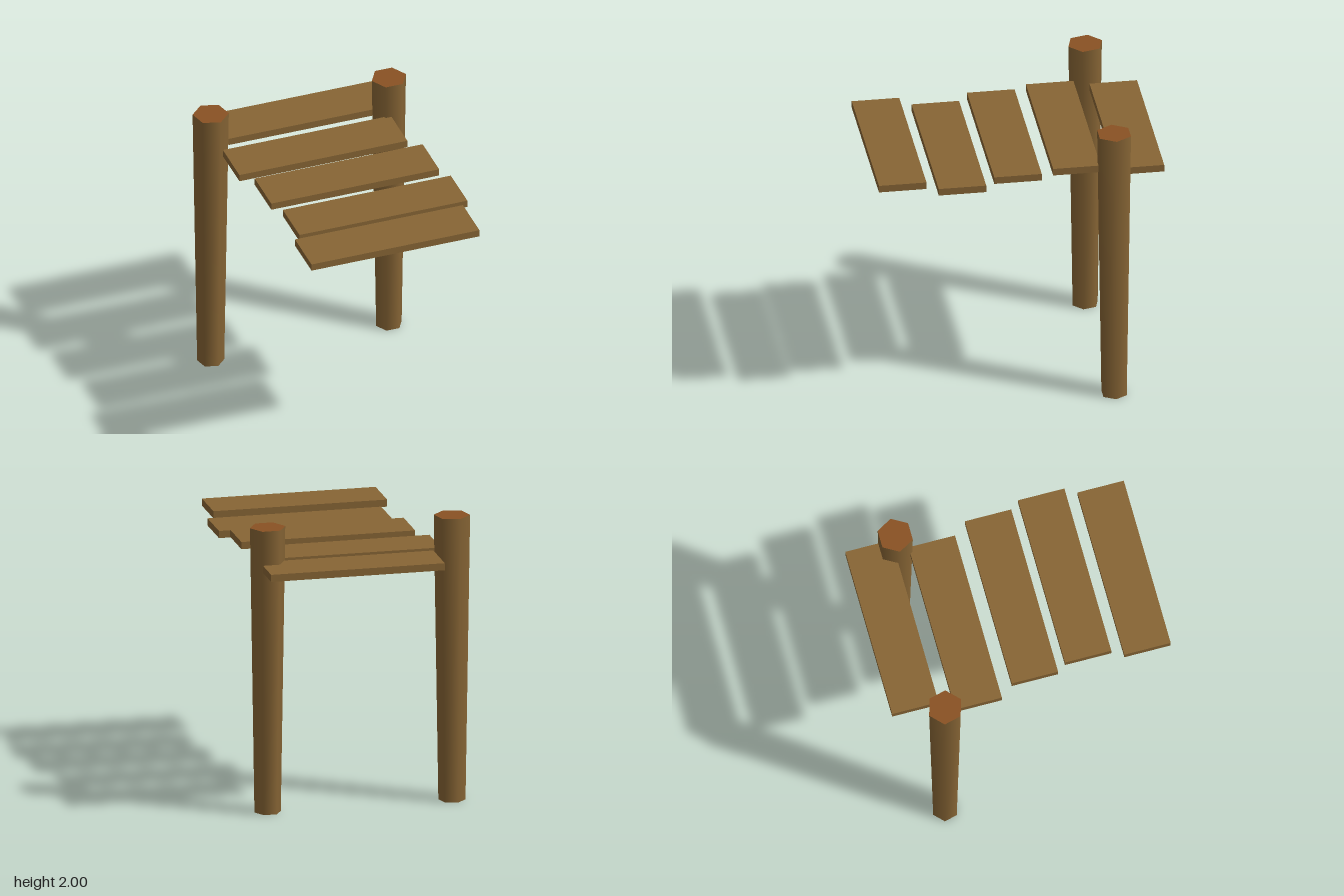
import * as THREE from 'three';

export function createModel() {
  const group = new THREE.Group();
  const wood = new THREE.MeshStandardMaterial({ color: 0x876535 });
  wood.name = 'wood';
  const cutWood = new THREE.MeshStandardMaterial({ color: 0x8a5223 });
  cutWood.name = 'cut wood';

  // Tapered six-sided posts, each turned differently, with a cut top face
  const addPost = (name, x, z, turn) => {
    const geometry = new THREE.CylinderGeometry(0.123, 0.092, 2, 6, 1);
    const post = new THREE.Mesh(geometry, [wood, cutWood, wood]);
    post.name = name;
    post.position.set(x, 1, z);
    post.rotation.y = THREE.MathUtils.degToRad(turn);
    group.add(post);
  };
  addPost('leftPost', 0.637, -0.643, 30);
  addPost('rightPost', -0.647, -0.643, 14);

  // Loose deck planks: centre x, centre y, centre z
  const plank = new THREE.BoxGeometry(1.21, 0.05, 0.325);
  [
    [0.09, 1.735, -0.815],
    [0.013, 1.724, -0.392],
    [0.09, 1.735, 0.023],
    [0.15, 1.71, 0.412],
    [0.09, 1.735, 0.812],
  ].forEach(([x, y, z], i) => {
    const mesh = new THREE.Mesh(plank, wood);
    mesh.name = `plank${i + 1}`;
    mesh.position.set(x, y, z);
    group.add(mesh);
  });

  return group;
}
